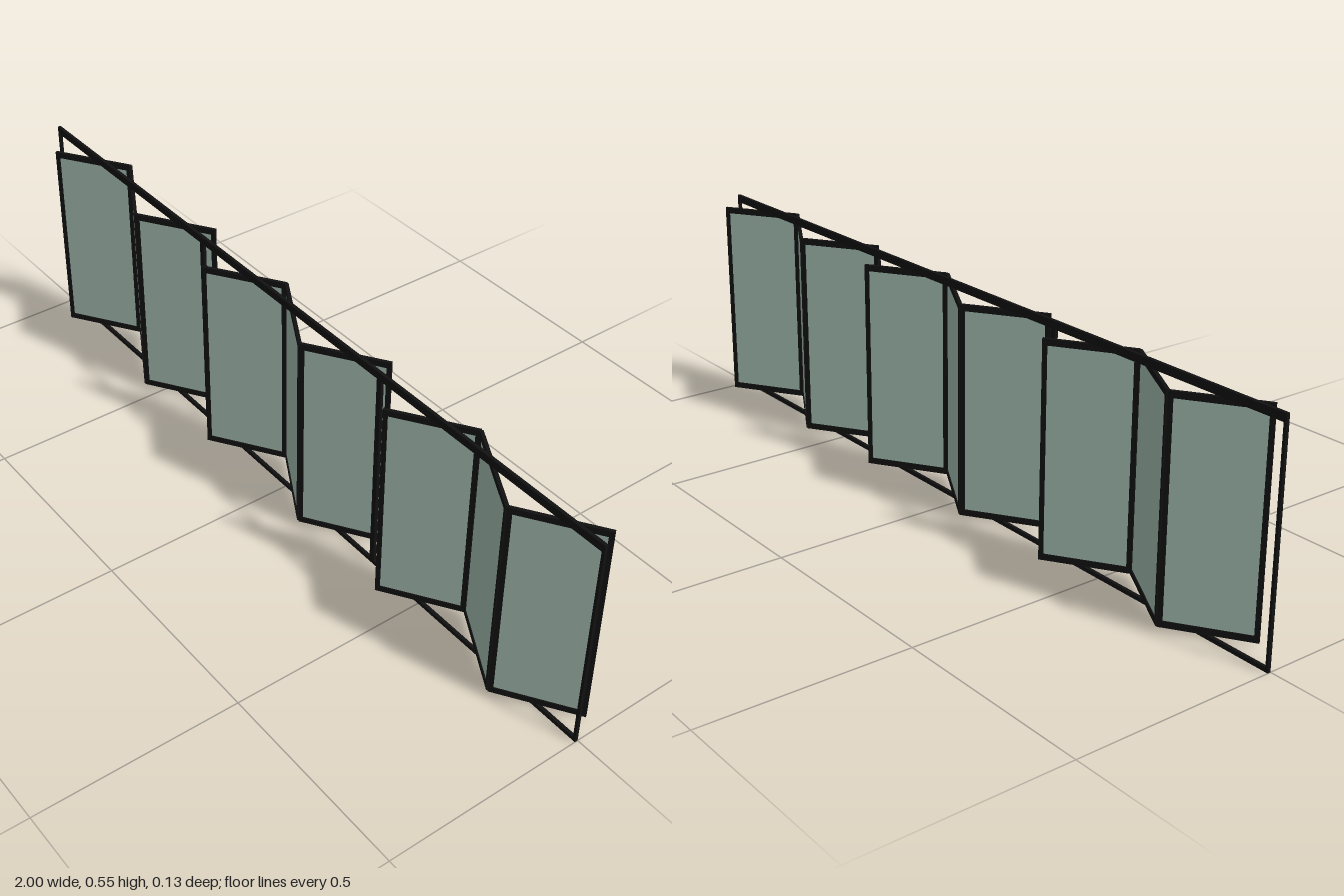
import * as THREE from 'three';

const black = new THREE.MeshStandardMaterial({ color: 0x111111 });
const glass = new THREE.MeshStandardMaterial({ color: 0x9cb4aa });

const HEIGHT = 0.545, MODULE = 2 / 3, DEPTH = 0.008;
const PANEL_BOTTOM = 0.01, PANEL_TOP = 0.526;

function box(name, w, h, d, x, y, z, material, parent) {
  const mesh = new THREE.Mesh(new THREE.BoxGeometry(w, h, d), material);
  mesh.name = name;
  mesh.position.set(x, y, z);
  parent.add(mesh);
  return mesh;
}

// Framed glass leaf standing between two plan points [x, z]
function foldingPanel([x0, z0], [x1, z1]) {
  const panel = new THREE.Group();
  panel.name = 'foldingPanel';
  const length = Math.hypot(x1 - x0, z1 - z0);
  const height = PANEL_TOP - PANEL_BOTTOM;
  const stile = 0.011, rail = 0.015;
  for (const side of [-1, 1]) {
    box('panelStile', stile, height, DEPTH, side * (length - stile) / 2, 0, 0, black, panel);
    box('panelRail', length - 2 * stile, rail, DEPTH, 0, side * (height - rail) / 2, 0, black, panel);
  }
  box('glassPane', length - 2 * stile, height - 2 * rail, 0.003, 0, 0, 0, glass, panel);
  panel.position.set((x0 + x1) / 2, (PANEL_BOTTOM + PANEL_TOP) / 2, (z0 + z1) / 2);
  panel.rotation.y = -Math.atan2(z1 - z0, x1 - x0);
  return panel;
}

// One opening: outer frame with three leaves folded in a zigzag
function doorModule() {
  const door = new THREE.Group();
  door.name = 'foldingDoor';
  const post = 0.007, topRail = 0.019, sill = 0.01;
  box('topTrack', MODULE, topRail, DEPTH, 0, HEIGHT - topRail / 2, 0, black, door);
  box('bottomTrack', MODULE, sill, DEPTH, 0, sill / 2, 0, black, door);
  for (const side of [-1, 1]) {
    box('framePost', post, HEIGHT - topRail - sill, DEPTH,
      side * (MODULE - post) / 2, (HEIGHT - topRail + sill) / 2, 0, black, door);
  }
  const folds = [[-0.252, 0.058], [-0.078, -0.058], [0.127, 0.058], [0.302, -0.058]];
  for (let i = 0; i < 3; i++) door.add(foldingPanel(folds[i], folds[i + 1]));
  return door;
}

export function createModel() {
  const model = new THREE.Group();
  model.name = 'foldingGlassDoors';
  for (let i = -1; i <= 1; i++) {
    const door = doorModule();
    door.position.x = i * MODULE;
    model.add(door);
  }
  // The whole row is turned very slightly about the vertical
  model.rotation.y = -0.004;
  return model;
}
